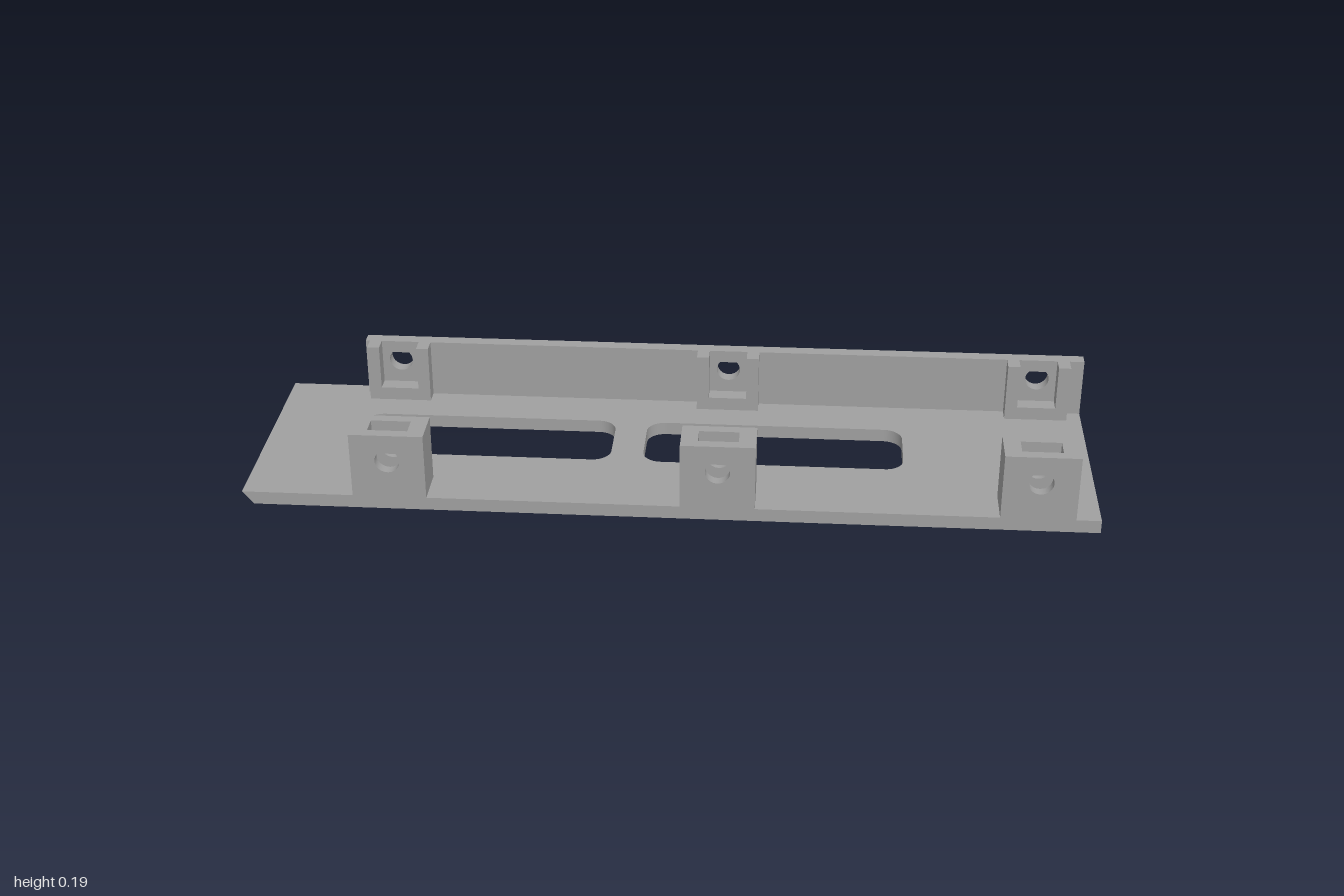
import * as THREE from 'three';

const PLATE_TOP = 0.032, HALF_DEPTH = 0.278;
const HOLE_Y = 0.126, HOLE_R = 0.029, POCKET_FLOOR = 0.065, POCKET_HALF = 0.047;

// Screw hole: round below, 45-degree point above
function teardrop(x) {
  const hole = new THREE.Path();
  hole.moveTo(x, HOLE_Y + HOLE_R * Math.SQRT2);
  hole.absarc(x, HOLE_Y, HOLE_R, Math.PI * 0.75, Math.PI * 2.25, false);
  hole.closePath();
  return hole;
}

function polygon(points) {
  return new THREE.Shape(points.map(([x, y]) => new THREE.Vector2(x, y)));
}

function rectangle(x0, x1, y0, y1) {
  return polygon([[x0, y0], [x1, y0], [x1, y1], [x0, y1]]);
}

function roundedSlot(x0, x1, y0, y1, r) {
  const p = new THREE.Path();
  p.absarc(x1 - r, y1 - r, r, 0, Math.PI / 2, false);
  p.absarc(x0 + r, y1 - r, r, Math.PI / 2, Math.PI, false);
  p.absarc(x0 + r, y0 + r, r, Math.PI, Math.PI * 1.5, false);
  p.absarc(x1 - r, y0 + r, r, Math.PI * 1.5, Math.PI * 2, false);
  p.closePath();
  return p;
}

// Block outline with a nut pocket open at the top
function pocketShape(x, half, top) {
  const p = POCKET_HALF;
  return polygon([
    [x - half, PLATE_TOP], [x + half, PLATE_TOP], [x + half, top], [x + p, top],
    [x + p, POCKET_FLOOR], [x - p, POCKET_FLOOR], [x - p, top], [x - half, top],
  ]);
}

export function createModel() {
  const model = new THREE.Group();
  model.name = 'mountingTray';
  const grey = new THREE.MeshStandardMaterial({ color: 0xa0a0a0 });
  grey.name = 'grey';

  // Extrudes a front-facing outline between two depths
  function slab(name, shape, z0, z1, parent = model) {
    const geo = new THREE.ExtrudeGeometry(shape, { depth: z1 - z0, bevelEnabled: false, curveSegments: 20 });
    geo.translate(0, 0, z0);
    const mesh = new THREE.Mesh(geo, grey);
    mesh.name = name;
    parent.add(mesh);
    return mesh;
  }

  // Base plate with two openings and an undercut right end
  const outline = rectangle(-1, 1, -HALF_DEPTH, HALF_DEPTH);
  outline.holes.push(roundedSlot(-0.78, -0.153, -0.07, 0.128, 0.045));
  outline.holes.push(roundedSlot(-0.075, 0.553, -0.07, 0.128, 0.045));
  const plate = slab('basePlate', outline, 0, PLATE_TOP).geometry;
  plate.rotateX(-Math.PI / 2);
  const pos = plate.attributes.position;
  for (let i = 0; i < pos.count; i++) {
    if (pos.getX(i) < -0.99 && pos.getY(i) < 0.001) pos.setX(i, -0.974);
  }
  plate.computeVertexNormals();

  // Front mounting blocks: two drilled faces around a nut slot
  for (const x of [-0.65, 0.117, 0.855]) {
    const block = new THREE.Group();
    block.name = 'frontBlock';
    model.add(block);
    const half = 0.087, top = 0.193;
    const face = rectangle(x - half, x + half, PLATE_TOP, top);
    face.holes.push(teardrop(x));
    slab('blockFront', face, 0.252, HALF_DEPTH, block);
    slab('blockSlot', pocketShape(x, half, top), 0.205, 0.252, block);
    slab('blockBack', face, 0.18, 0.205, block);
  }

  // Back wall with drilled holes and open nut holders
  const backX = [-0.712, 0.118, 0.887];
  const wall = rectangle(-0.8, 1, PLATE_TOP, 0.177);
  for (const x of backX) {
    wall.holes.push(teardrop(x));
    slab('nutHolder', pocketShape(x, 0.077, 0.177), -0.246, -0.207);
  }
  slab('backWall', wall, -HALF_DEPTH, -0.246);

  return model;
}
